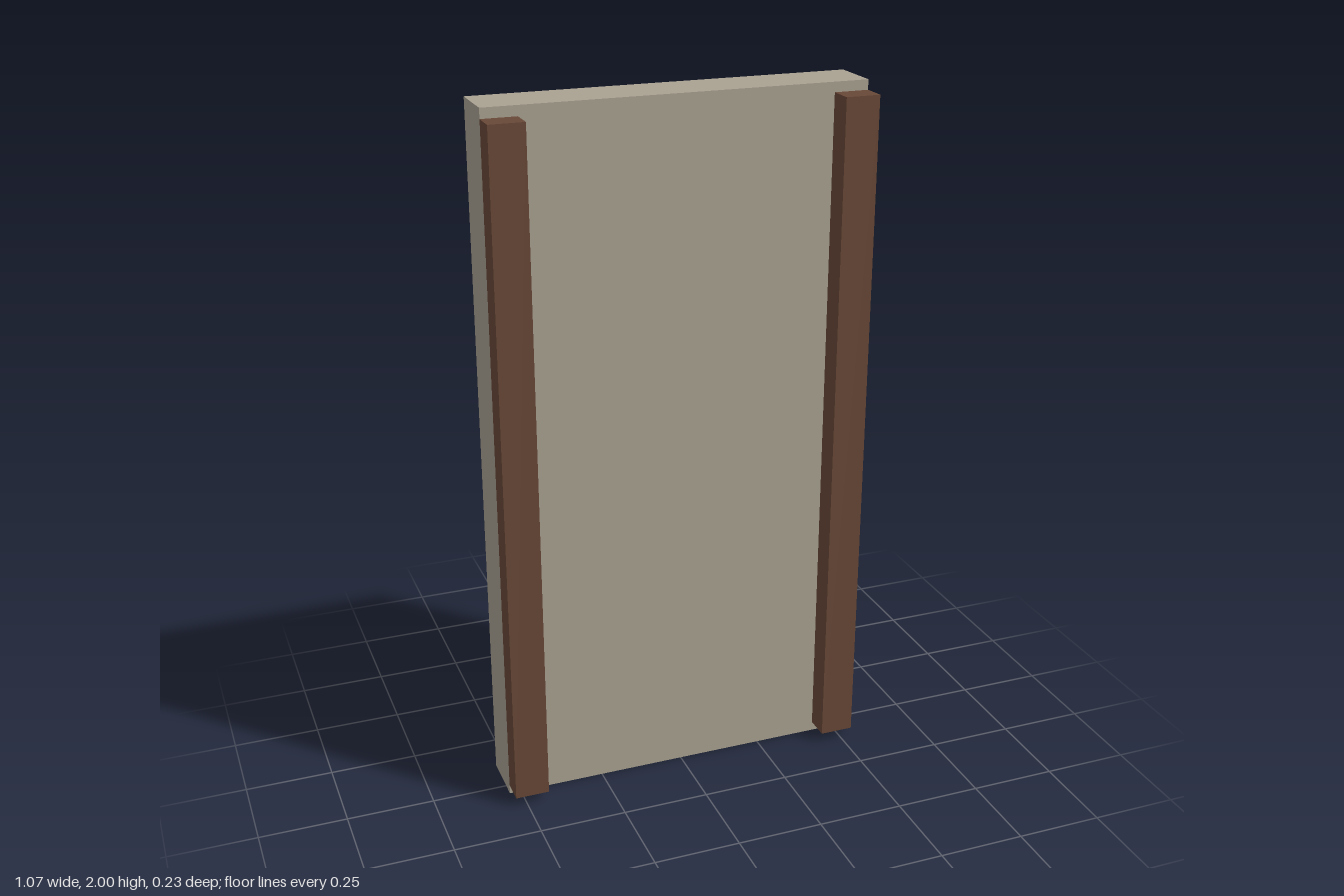
import * as THREE from 'three';

const W = 1.066, H = 2, BACK = -0.113, FACE = 0.041, FRONT = 0.113;

// Box given by its lower and upper corners
function block(name, [x0, y0, z0], [x1, y1, z1], material) {
  const mesh = new THREE.Mesh(new THREE.BoxGeometry(x1 - x0, y1 - y0, z1 - z0), material);
  mesh.position.set((x0 + x1) / 2, (y0 + y1) / 2, (z0 + z1) / 2);
  mesh.name = name;
  return mesh;
}

export function createModel() {
  const group = new THREE.Group();
  group.name = 'wallPanel';
  const plaster = new THREE.MeshStandardMaterial({ color: 0xaaa292 });
  const timber = new THREE.MeshStandardMaterial({ color: 0x694837 });

  // Solid wall slab
  group.add(block('slab', [-W / 2, 0, BACK], [W / 2, H, FACE], plaster));

  // Timber posts along both front edges, stopping short of top and bottom
  const postWidth = 0.098;
  for (const [name, x] of [['leftPost', W / 2 - postWidth], ['rightPost', -W / 2]]) {
    group.add(block(name, [x, 0.028, FACE], [x + postWidth, 1.972, FRONT], timber));
  }
  return group;
}
